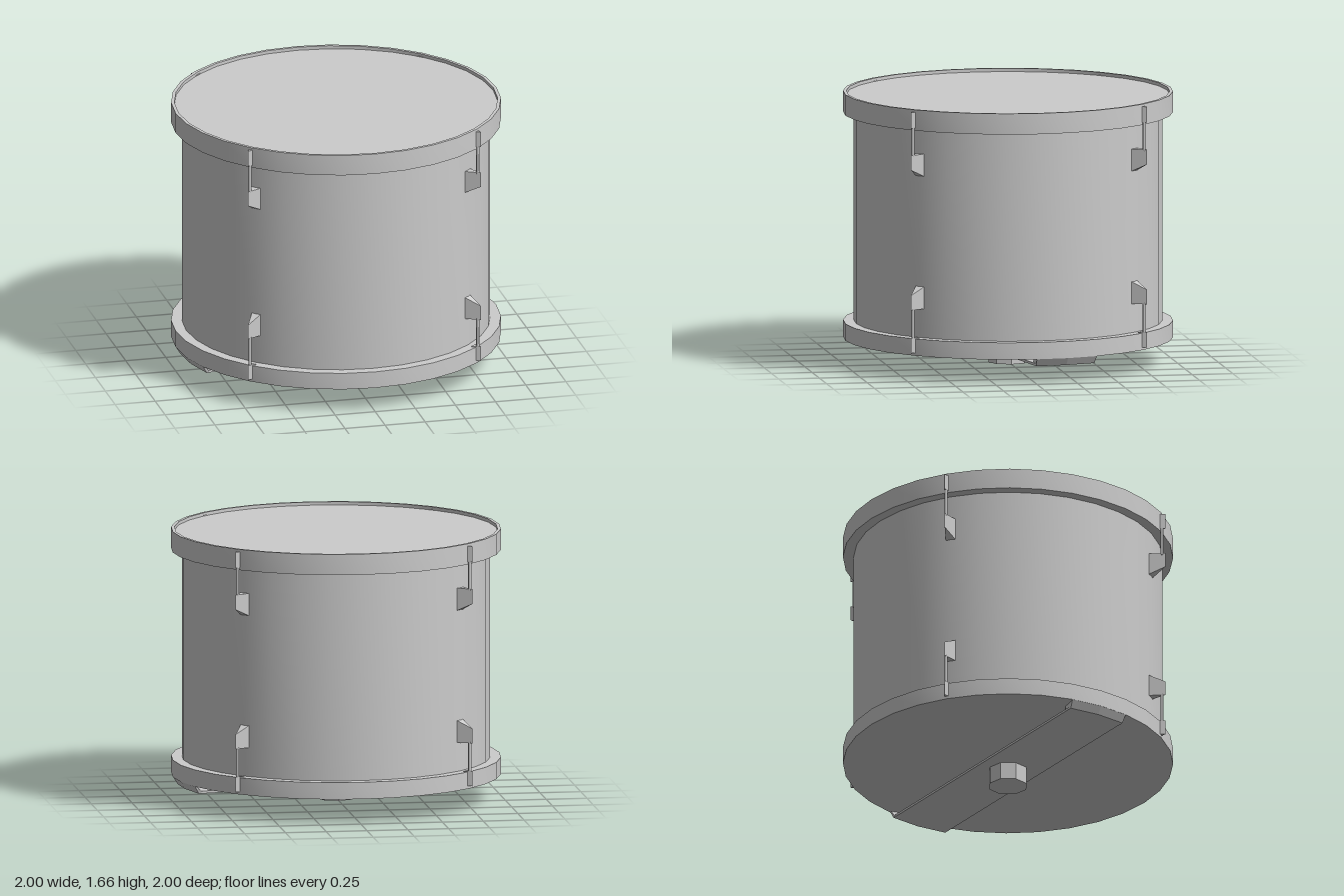
import * as THREE from 'three';
import { toCreasedNormals } from 'three/addons/utils/BufferGeometryUtils.js';
import { ConvexGeometry } from 'three/addons/geometries/ConvexGeometry.js';

const grey = new THREE.MeshStandardMaterial({ color: 0xcccccc });

function part(name, geometry) {
  const mesh = new THREE.Mesh(geometry, grey);
  mesh.name = name;
  return mesh;
}

// Round part turned from a [radius, y] profile, 32 sides, crisp edges
function turned(name, profile) {
  const points = profile.map(([r, y]) => new THREE.Vector2(r, y));
  return part(name, toCreasedNormals(new THREE.LatheGeometry(points, 32), 0.6));
}

// Triangular prism with its ridge pointing out along +x.
// The base spans y0..y1, the ridge spans y0..ridgeY.
function ridged(name, rBase, rRidge, halfWidth, y0, y1, ridgeY) {
  const corners = [];
  for (const z of [-halfWidth, halfWidth]) {
    corners.push(new THREE.Vector3(rBase, y0, z), new THREE.Vector3(rBase, y1, z));
  }
  corners.push(new THREE.Vector3(rRidge, y0, 0), new THREE.Vector3(rRidge, ridgeY, 0));
  return part(name, new ConvexGeometry(corners));
}

// Hoop clip, tension rod and shell lug; up = true for the upper set
function tensioner(up) {
  const g = new THREE.Group();
  g.name = up ? 'upperTensioner' : 'lowerTensioner';
  const [clip0, clip1] = up ? [1.545, 1.642] : [0.17, 0.262];
  const [rod0, rod1] = up ? [1.37, 1.55] : [0.255, 0.44];
  g.add(ridged('hoopClip', 0.975, 1.028, 0.024, clip0, clip1, clip1));
  g.add(up
    ? ridged('lug', 0.925, 1.028, 0.033, 1.38, 1.24, 1.29)
    : ridged('lug', 0.925, 1.028, 0.033, 0.433, 0.572, 0.522));
  const rod = part('tensionRod', new THREE.CylinderGeometry(0.01, 0.01, rod1 - rod0, 6));
  rod.position.set(1.005, (rod0 + rod1) / 2, 0);
  g.add(rod);
  return g;
}

// Wedge that joins one end of the base strap to the lower hoop
function strapEnd() {
  const corners = [[0.89, 0.155, 0], [0.91, 0.155, -0.38], [0.875, 0.107, 0], [0.875, 0.107, -0.37]];
  for (let i = 0; i < 3; i++) {
    const a = i * Math.PI / 16;
    corners.push([Math.cos(a), 0.155, -Math.sin(a)]);
    corners.push([0.97 * Math.cos(a), 0.107, -0.97 * Math.sin(a)]);
  }
  return part('strapEnd', new ConvexGeometry(corners.map(c => new THREE.Vector3(...c))));
}

export function createModel() {
  const model = new THREE.Group();
  model.name = 'drum';

  // Shell, hoops and heads
  model.add(turned('shell', [[0.935, 0.24], [0.935, 1.54]]));
  model.add(turned('topHoop', [[0.93, 1.53], [1, 1.53], [1, 1.657], [0.98, 1.657], [0.98, 1.635]]));
  model.add(turned('topHead', [[0.98, 1.637], [0, 1.637]]));
  model.add(turned('bottomHoop', [[0.93, 0.153], [1, 0.153], [1, 0.256], [0.93, 0.256]]));
  model.add(turned('bottomHead', [[0, 0.153], [0.94, 0.153]]));

  // Four columns of tensioners at the diagonals
  for (let i = 0; i < 4; i++) {
    const column = new THREE.Group();
    column.name = 'tensionerColumn';
    column.add(tensioner(true), tensioner(false));
    column.rotation.y = Math.PI / 4 + i * Math.PI / 2;
    model.add(column);
  }

  // Skewed strap under the drum with a wedge at each end
  const outline = new THREE.Shape([[0.97, 0], [0.95, 0.19], [0.896, 0.371],
    [-0.97, 0], [-0.95, -0.19], [-0.896, -0.371]].map(([x, y]) => new THREE.Vector2(x, y)));
  const strap = part('baseStrap', new THREE.ExtrudeGeometry(outline, { depth: 0.015, bevelEnabled: false }));
  strap.rotation.x = -Math.PI / 2;
  strap.position.y = 0.107;
  model.add(strap);
  for (const turn of [0, Math.PI]) {
    const end = strapEnd();
    end.rotation.y = turn;
    model.add(end);
  }

  // Eight-sided mounting foot
  const foot = part('foot', toCreasedNormals(new THREE.CylinderGeometry(0.12, 0.12, 0.11, 8), 0.3));
  foot.position.y = 0.055;
  model.add(foot);

  return model;
}
